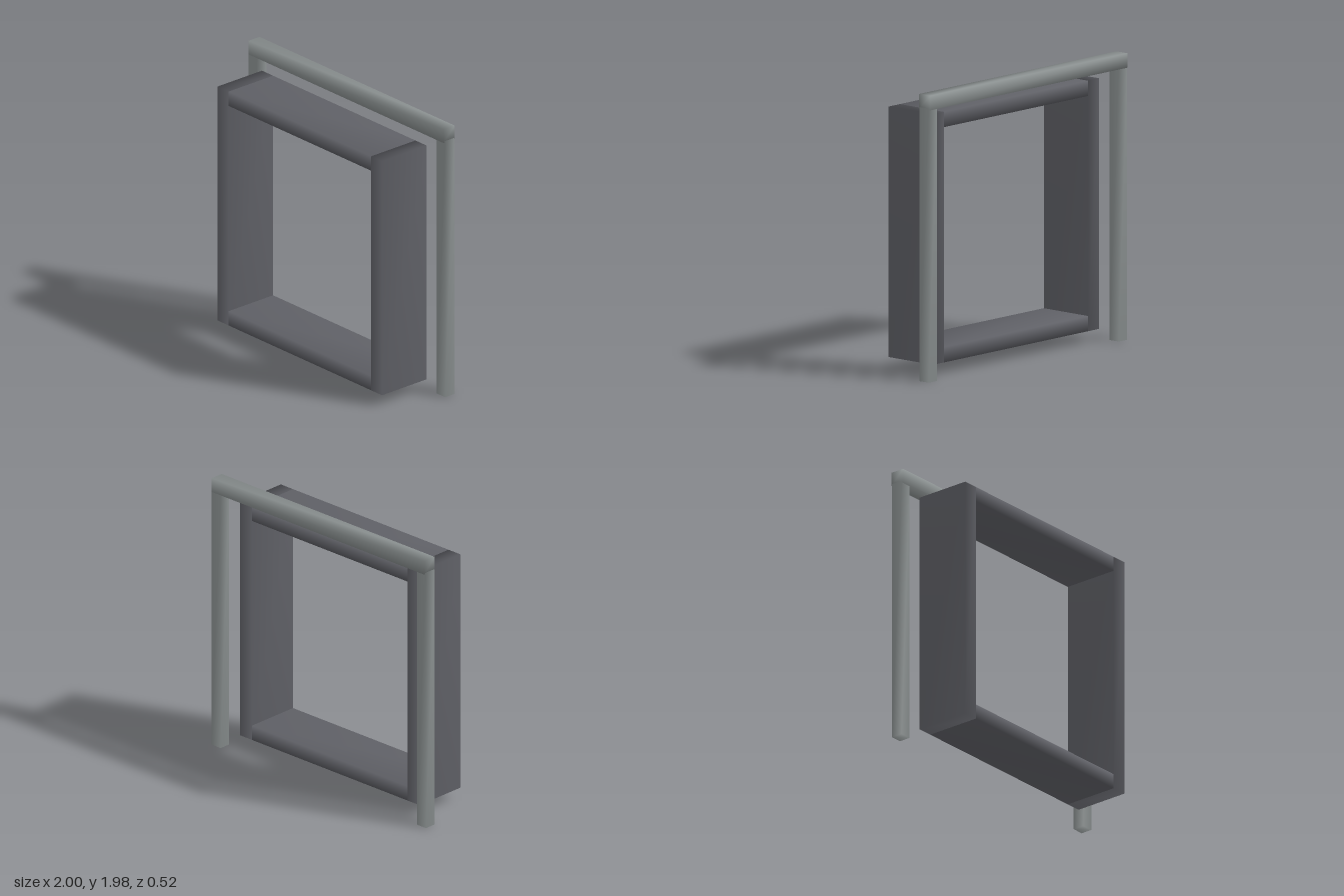
import * as THREE from 'three';
import { mergeVertices } from 'three/addons/utils/BufferGeometryUtils.js';

const darkMaterial = new THREE.MeshStandardMaterial({ color: 0x5f6066 });
const greyMaterial = new THREE.MeshStandardMaterial({ color: 0x8a9090 });

// Softly shaded beam between two corners: its faces share their corner normals
function beam(name, material, [x0, y0, z0], [x1, y1, z1]) {
  let geometry = new THREE.BoxGeometry(x1 - x0, y1 - y0, z1 - z0);
  geometry.deleteAttribute('normal');
  geometry.deleteAttribute('uv');
  geometry = mergeVertices(geometry);
  geometry.computeVertexNormals();
  const mesh = new THREE.Mesh(geometry, material);
  mesh.name = name;
  mesh.position.set((x0 + x1) / 2, (y0 + y1) / 2, (z0 + z1) / 2);
  return mesh;
}

export function createModel() {
  const model = new THREE.Group();
  model.name = 'framedOpening';

  // Deep square frame: two full-height posts with rails fitted between them
  const frame = new THREE.Group();
  frame.name = 'deepFrame';
  const outer = 0.838, inner = 0.725, bottom = 0.085, top = 1.81;
  const back = -0.145, front = 0.257, railHeight = 0.105;
  frame.add(
    beam('leftPost', darkMaterial, [inner, bottom, back], [outer, top, front]),
    beam('rightPost', darkMaterial, [-outer, bottom, back], [-inner, top, front]),
    beam('bottomRail', darkMaterial, [-inner, bottom, back], [inner, bottom + railHeight, front]),
    beam('topRail', darkMaterial, [-inner, top - railHeight, back], [inner, top, front])
  );

  // Slim surround behind it: two legs and a slightly thicker lintel
  const surround = new THREE.Group();
  surround.name = 'surround';
  surround.add(
    beam('leftLeg', greyMaterial, [0.915, 0, -0.252], [1, 1.885, -0.168]),
    beam('rightLeg', greyMaterial, [-1, 0, -0.252], [-0.915, 1.885, -0.168]),
    beam('lintel', greyMaterial, [-0.993, 1.875, -0.26], [0.993, 1.975, -0.16])
  );

  model.add(frame, surround);
  return model;
}
